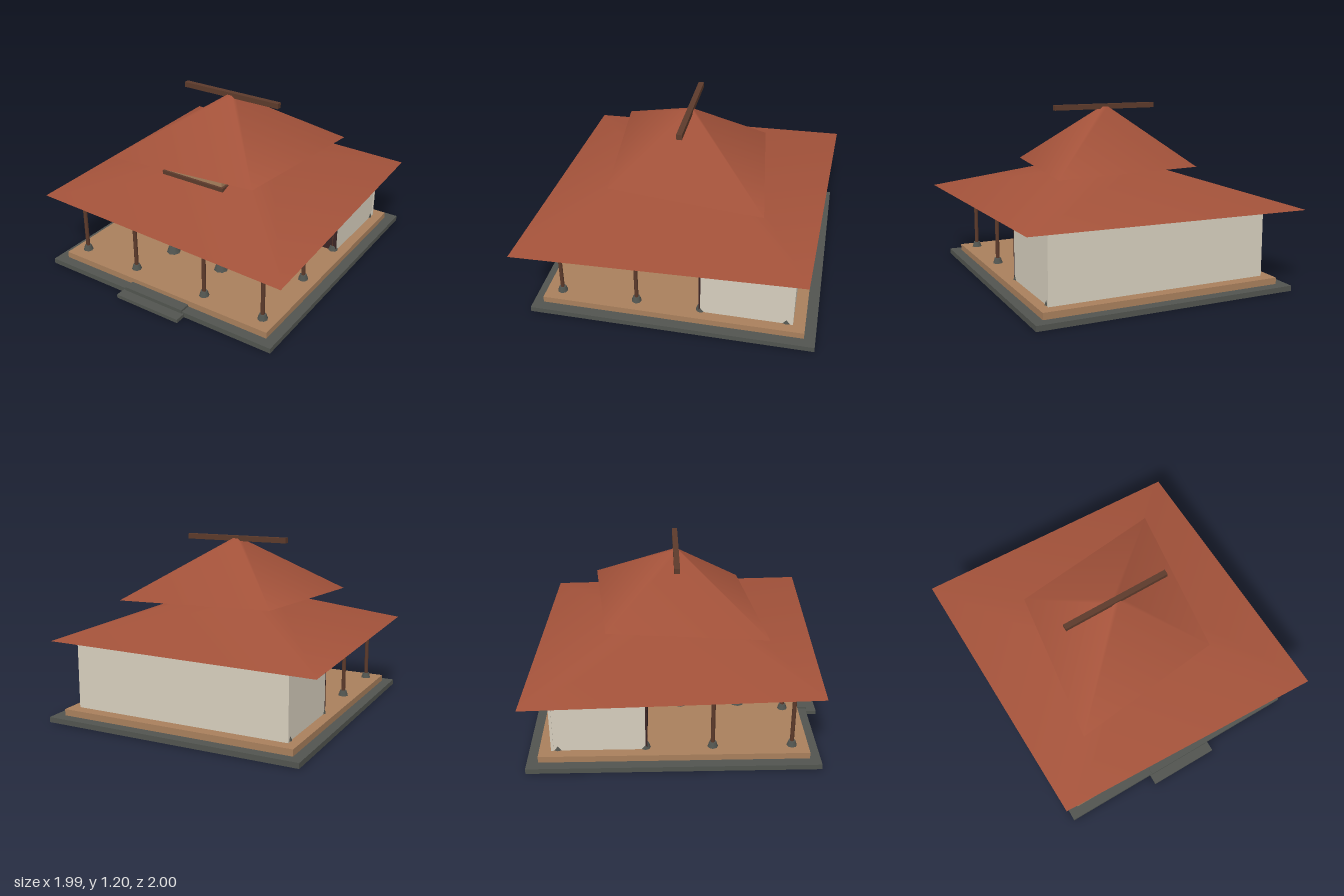
import * as THREE from 'three';

export function createModel() {
  const model = new THREE.Group();
  model.name = 'pavilion';

  const mat = (name, color) => {
    const m = new THREE.MeshStandardMaterial({ color });
    m.name = name;
    return m;
  };
  const stone = mat('dark stone', 0x51544f);
  const floorWood = mat('light wood', 0xa87f5c);
  const tile = mat('roof tile', 0xa3523a);
  const wood = mat('brown wood', 0x5c3a2b);
  const dark = mat('dark panel wood', 0x3a2525);
  const plaster = mat('cream plaster', 0xd6cebd);
  const cloth = mat('red cloth', 0xa34a34);

  const add = (name, geometry, material, x = 0, y = 0, z = 0) => {
    const mesh = new THREE.Mesh(geometry, material);
    mesh.name = name;
    mesh.position.set(x, y, z);
    model.add(mesh);
    return mesh;
  };
  // Box given by its limits on each axis
  const box = (name, material, x0, x1, y0, y1, z0, z1) =>
    add(name, new THREE.BoxGeometry(x1 - x0, y1 - y0, z1 - z0), material,
      (x0 + x1) / 2, (y0 + y1) / 2, (z0 + z1) / 2);

  // Plinth, floor and front steps
  box('plinth', stone, -0.9, 0.9, 0, 0.036, -1, 0.925);
  box('floor', floorWood, -0.83, 0.83, 0.036, 0.08, -0.925, 0.855);
  box('lowerStep', stone, -0.25, 0.25, 0, 0.025, 0.83, 1);
  box('upperStep', stone, -0.235, 0.235, 0.025, 0.05, 0.8551, 0.93);

  // Posts on tapered stone feet
  const post = (name, x, z, r, footR, footH, top) => {
    add(name + 'Foot', new THREE.CylinderGeometry(footR * 0.66, footR, footH, 8), stone, x, 0.08 + footH / 2, z);
    const y0 = 0.08 + footH;
    add(name, new THREE.CylinderGeometry(r, r, top - y0, 8), wood, x, (top + y0) / 2, z);
  };
  for (const s of [-1, 1]) {
    for (const z of [0.745, 0.22, -0.225, -0.8]) post('outerPost', s * 0.735, z, 0.014, 0.035, 0.036, 0.55);
    post('frontPost', s * 0.285, 0.745, 0.014, 0.035, 0.036, 0.55);
    for (const z of [0.43, 0.018]) post('mainPost', s * 0.205, z, 0.019, 0.05, 0.048, 0.71);
  }

  // Stacked ceiling layers above the main posts
  [[0.245, 0.708, 0.734, wood], [0.228, 0.734, 0.764, floorWood], [0.207, 0.768, 0.789, wood]]
    .forEach(([h, y0, y1, m]) => box('ceilingLayer', m, -h, h, y0, y1, 0.222 - h, 0.222 + h));

  // Low table on a thin mat between the main posts
  box('floorMat', floorWood, -0.16, 0.16, 0.08, 0.086, 0.06, 0.38);
  box('lowTable', dark, -0.12, 0.12, 0.086, 0.135, 0.147, 0.287);

  // Back room: plaster walls, dark front screen and doorway
  box('backWall', plaster, -0.765, 0.765, 0.08, 0.54, -0.845, -0.828);
  for (const s of [-1, 1]) {
    const side = box('sideWall', plaster, 0.742, 0.76, 0.08, 0.54, -0.828, -0.224);
    side.position.x *= s;
    const screen = box('frontScreen', dark, 0.13, 0.76, 0.08, 0.54, -0.224, -0.212);
    screen.position.x *= s;
    const jamb = box('doorPost', wood, 0.122, 0.145, 0.08, 0.45, -0.228, -0.204);
    jamb.position.x *= s;
  }
  box('doorLintel', floorWood, -0.16, 0.16, 0.45, 0.54, -0.226, -0.202);

  // Bed inside the room
  box('bedBase', dark, -0.2, 0.2, 0.08, 0.14, -0.68, -0.42);
  box('bedCover', cloth, -0.2, 0.2, 0.14, 0.166, -0.68, -0.42);
  box('bolster', floorWood, -0.11, 0.11, 0.166, 0.185, -0.66, -0.54);

  // Four-sided roofs, stretched along one diagonal
  const roof = (name, topR, bottomR, y0, y1, across, along) => {
    const r = add(name, new THREE.CylinderGeometry(topR, bottomR, y1 - y0, 4), tile, 0, (y0 + y1) / 2, -0.006);
    r.rotation.y = Math.PI / 4;
    r.scale.set(across, 1, along);
  };
  roof('lowerRoof', 0.222, 1, 0.54, 0.789, 1.303, 1.406);
  roof('upperRoof', 0.035, 1, 0.789, 1.185, 0.835, 0.665);
  box('ridgeBeam', wood, -0.38, 0.38, 1.167, 1.203, -0.025, 0.013);

  return model;
}
